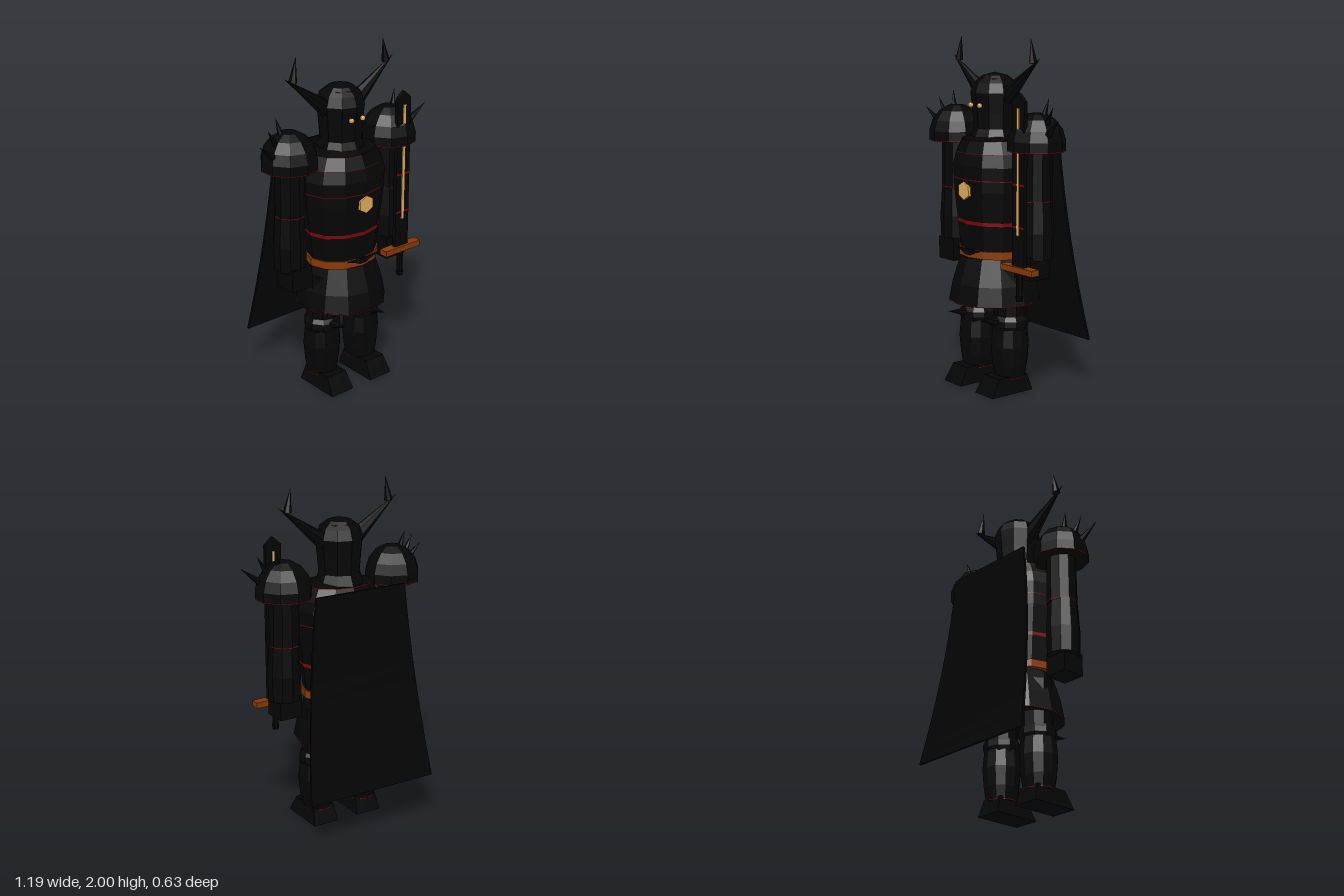
import * as THREE from 'three';

const mat = (name, color) => new THREE.MeshStandardMaterial({ name, color, flatShading: true });

export function createModel() {
  const root = new THREE.Group();
  root.name = 'hornedKnight';
  const armor = mat('blackArmor', 0x050505);
  const cloth = mat('blackCloth', 0x040404);
  const red = mat('redTrim', 0x7a0406);
  const gold = mat('gold', 0xe8b25c);
  const brown = mat('brownLeather', 0x8a3a06);

  const add = (name, geo, material, x = 0, y = 0, z = 0, parent = root) => {
    const m = new THREE.Mesh(geo, material);
    m.name = name;
    m.position.set(x, y, z);
    parent.add(m);
    return m;
  };
  const lathe = (pts, sides) => new THREE.LatheGeometry(pts.map(p => new THREE.Vector2(...p)), sides);
  const cyl = (top, bottom, h, sides = 12) => new THREE.CylinderGeometry(top, bottom, h, sides);
  const ring = (r, h, sides = 12) => new THREE.CylinderGeometry(r, r, h, sides, 1, true);
  const box = (w, h, d) => new THREE.BoxGeometry(w, h, d);
  const plate = (pts, depth) => new THREE.ExtrudeGeometry(
    new THREE.Shape(pts.map(p => new THREE.Vector2(...p))), { depth, bevelEnabled: false });

  // Cone pointing from one place to another
  const spike = (name, from, to, r, parent, sides = 6) => {
    const a = new THREE.Vector3(...from), b = new THREE.Vector3(...to);
    const dir = b.clone().sub(a);
    const m = add(name, new THREE.ConeGeometry(r, dir.length(), sides), armor, 0, 0, 0, parent);
    m.position.copy(a).add(b).multiplyScalar(0.5);
    m.quaternion.setFromUnitVectors(new THREE.Vector3(0, 1, 0), dir.normalize());
  };

  // Torso, plate trims, belt and skirt
  const torsoProfile = [[0, 0.78], [0.17, 0.78], [0.185, 0.95], [0.205, 1.15], [0.211, 1.29],
    [0.195, 1.36], [0.163, 1.43], [0.11, 1.45], [0, 1.455]];
  add('torso', lathe(torsoProfile, 12), armor, 0, 0, 0.065).scale.x = 1.24;
  for (const [y, r, h, z] of [[0.972, 0.19, 0.02, 0.065], [1.215, 0.209, 0.004, 0.065],
    [1.36, 0.196, 0.003, 0.065], [1.43, 0.163, 0.006, 0.06]]) {
    add('torsoTrim', ring(r, h), red, 0, y, z).scale.x = 1.24;
  }
  add('belt', cyl(0.184, 0.184, 0.045), brown, 0, 0.795, 0.063).scale.x = 1.22;
  add('buckle', plate([[-0.11, 0.82], [-0.06, 0.805], [-0.02, 0.787], [0.02, 0.787], [0.06, 0.805], [0.11, 0.82]], 0.009),
    armor, 0, 0, 0.24);
  add('skirt', lathe([[0, 0.53], [0.258, 0.515], [0.265, 0.515], [0.245, 0.62], [0.198, 0.77], [0, 0.77]], 12), armor, 0, 0, 0.052);
  add('skirtTrim', ring(0.267, 0.005), red, 0, 0.513, 0.052);
  const badge = add('chestBadge', cyl(0.052, 0.052, 0.018, 6), gold, 0, 1.153, 0.267);
  badge.rotation.x = Math.PI / 2;

  // Helmet, eyes and horns
  add('helmet', lathe([[0, 1.42], [0.145, 1.43], [0.12, 1.49], [0.127, 1.58], [0.138, 1.69], [0.118, 1.745],
    [0.07, 1.785], [0, 1.803]], 10), armor, 0, 0, 0.05);
  add('crownTrim', ring(0.092, 0.004, 8), red, 0, 1.768, 0.05);
  for (const s of [-1, 1]) {
    add('eye', new THREE.IcosahedronGeometry(0.0155, 1), gold, s * 0.04, 1.623, 0.191);
    spike('horn', [s * 0.08, 1.655, 0.05], [s * 0.385, 1.89, 0.05], 0.052, root, 8);
    spike('hornTip', [s * 0.33, 1.86, 0.05], [s * 0.307, 2, 0.05], 0.024, root);
  }

  // Arms and legs, mirrored by side
  for (const s of [-1, 1]) {
    const arm = new THREE.Group();
    arm.name = s > 0 ? 'leftArm' : 'rightArm';
    root.add(arm);
    add('upperArm', cyl(0.085, 0.088, 0.33, 10), armor, s * 0.36, 1.28, 0.05, arm);
    add('elbowTrim', ring(0.0885, 0.004, 10), red, s * 0.36, 1.122, 0.05, arm);
    add('forearm', lathe([[0, 0.8], [0.092, 0.8], [0.096, 0.95], [0.085, 1.12], [0, 1.12]], 10), armor, s * 0.365, 0, 0.05, arm);
    add('hand', box(0.14, 0.13, 0.14), armor, s * 0.35, 0.755, 0.07, arm);
    add('pauldron', lathe([[0, 1.395], [0.16, 1.395], [0.16, 1.45], [0.142, 1.51], [0.1, 1.565],
      [0.05, 1.595], [0, 1.6]], 10), armor, s * 0.36, 0, 0.05, arm);
    add('pauldronTrim', ring(0.161, 0.005, 10), red, s * 0.36, 1.394, 0.05, arm);
    spike('pauldronSpike', [s * 0.47, 1.475, 0.08], [s * 0.597, 1.575, 0.1], 0.026, arm);
    spike('pauldronSpike', [s * 0.44, 1.51, 0.06], [s * 0.512, 1.638, 0.067], 0.024, arm);
    spike('pauldronSpike', [s * 0.395, 1.55, 0.04], [s * 0.428, 1.682, 0.022], 0.024, arm);

    const leg = new THREE.Group();
    leg.name = s > 0 ? 'leftLeg' : 'rightLeg';
    root.add(leg);
    add('thigh', cyl(0.095, 0.092, 0.3, 10), armor, s * 0.143, 0.56, 0.055, leg);
    add('kneeGuard', lathe([[0, 0.35], [0.095, 0.355], [0.108, 0.39], [0.106, 0.42], [0.09, 0.445], [0, 0.445]], 10), armor, s * 0.145, 0, 0.062, leg);
    spike('kneeSpike', [s * 0.148, 0.413, 0.15], [s * 0.148, 0.435, 0.275], 0.026, leg);
    add('greave', lathe([[0, 0.085], [0.086, 0.085], [0.1, 0.16], [0.109, 0.27], [0.1, 0.37], [0, 0.37]], 12), armor, s * 0.148, 0, 0.062, leg);
    add('ankleTrim', ring(0.088, 0.005), red, s * 0.148, 0.085, 0.062, leg);

    // Boot tapers towards the ankle
    const boot = box(0.16, 0.1, 0.29);
    const p = boot.attributes.position;
    for (let i = 0; i < p.count; i++) {
      if (p.getY(i) > 0) p.setXYZ(i, p.getX(i) * 0.84, 0.05, p.getZ(i) * 0.7 - 0.012);
    }
    add('boot', boot, armor, s * 0.147, 0.05, 0.105, leg);
  }

  // Sword held upright in the left hand
  const sword = new THREE.Group();
  sword.name = 'sword';
  sword.position.set(0.36, 0, 0.169);
  root.add(sword);
  add('blade', plate([[-0.05, 0.75], [0.05, 0.75], [0.05, 1.665], [0, 1.71], [-0.05, 1.665]], 0.022),
    armor, 0, 0, -0.011, sword);
  for (const s of [-1, 1]) add('bladeInlay', box(0.018, 0.69, 0.006), gold, 0, 1.285, s * 0.013, sword);
  for (const y of [0.985, 1.217]) add('bladeBand', box(0.1, 0.012, 0.003), red, 0, y, 0.011, sword);
  add('crossguard', box(0.265, 0.034, 0.054), brown, 0, 0.752, 0, sword);
  add('grip', cyl(0.018, 0.018, 0.17, 8), armor, 0, 0.66, 0, sword);
  add('pommel', cyl(0.022, 0.018, 0.025, 8), armor, 0, 0.59, 0, sword);

  // Cape widens and sweeps backwards towards the hem
  const cape = new THREE.BoxGeometry(2, 1, 0.014, 1, 12, 1);
  const c = cape.attributes.position;
  for (let i = 0; i < c.count; i++) {
    const t = 0.5 - c.getY(i);
    c.setXYZ(i, c.getX(i) * (0.29 + 0.12 * t), 1.43 - 1.145 * t, c.getZ(i) - 0.175 - 0.133 * t ** 1.8);
  }
  add('cape', cape, cloth);
  return root;
}
